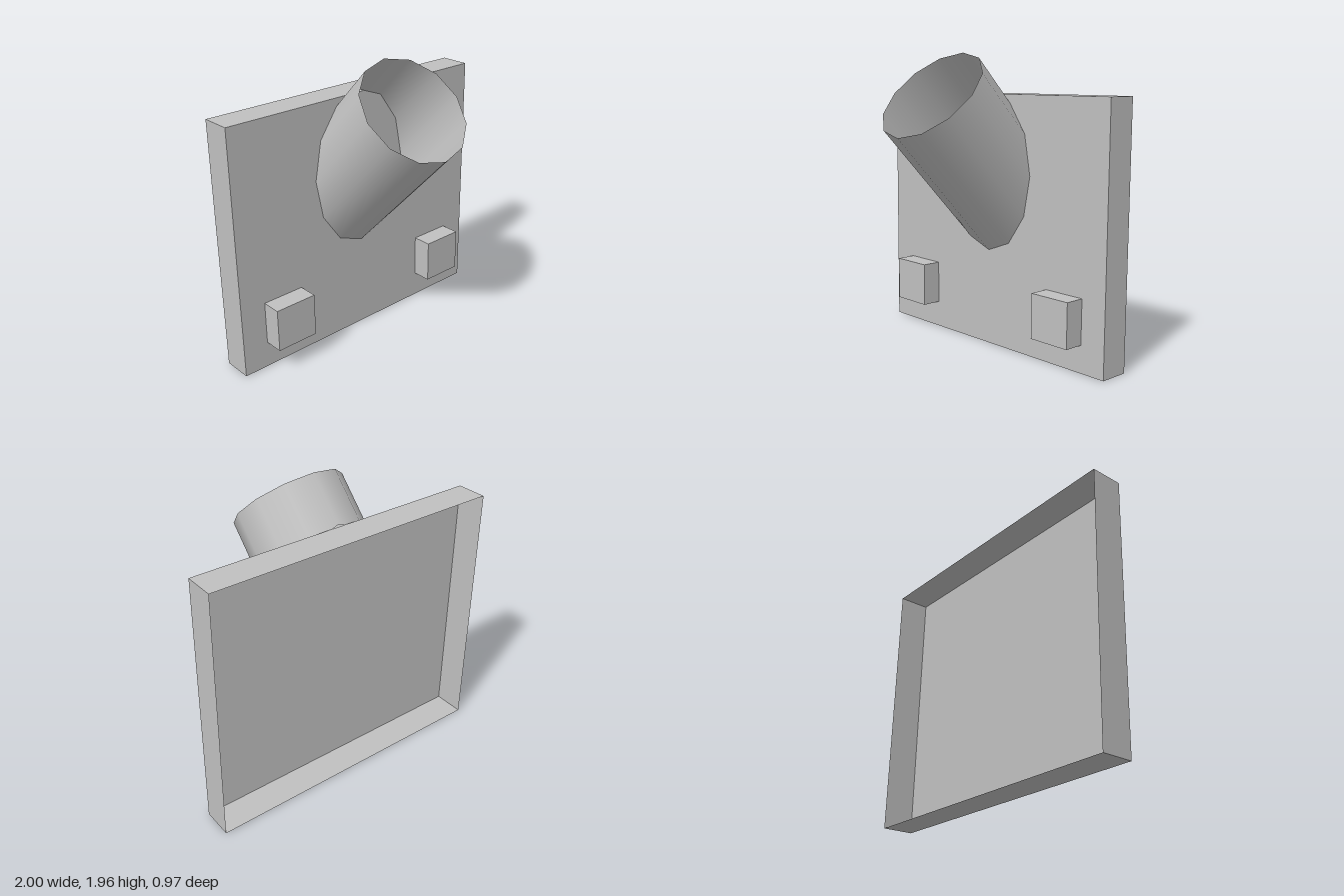
import * as THREE from 'three';

export function createModel() {
  const model = new THREE.Group();
  const grey = new THREE.MeshStandardMaterial({ color: 0xc0c0c0, side: THREE.DoubleSide });
  grey.name = 'plain grey';

  const FRONT = -0.283, BACK = -0.486; // z of the panel face and its open back

  function add(name, geometry, x, y, z) {
    const mesh = new THREE.Mesh(geometry, grey);
    mesh.name = name;
    mesh.position.set(x, y, z);
    model.add(mesh);
  }

  // A box without its rear face
  function openBox(w, h, d) {
    const geometry = new THREE.BoxGeometry(w, h, d);
    geometry.setIndex(Array.from(geometry.index.array.slice(0, 30)));
    geometry.clearGroups();
    return geometry;
  }

  // Wall panel: a shallow tray, open at the back
  add('wallPanel', openBox(2, 1.7, FRONT - BACK), 0, 0.85, (FRONT + BACK) / 2);

  // Two small blocks low on the panel
  for (const side of [-1, 1]) {
    add(side > 0 ? 'leftBlock' : 'rightBlock', openBox(0.295, 0.295, 0.135),
      side * 0.673, 0.328, FRONT + 0.0675);
  }

  // Slanted open tube, its lower end trimmed flush with the panel face
  const tilt = 0.77;
  const axis = new THREE.Vector3(0, Math.cos(tilt), Math.sin(tilt));
  const tube = new THREE.CylinderGeometry(0.371, 0.371, 1, 12, 1, true);
  tube.translate(0, -0.5, 0).rotateX(tilt).translate(0, 1.703, 0.22);
  const pos = tube.attributes.position;
  const p = new THREE.Vector3();
  for (let i = pos.count / 2; i < pos.count; i++) {
    p.fromBufferAttribute(pos, i);
    p.addScaledVector(axis, (FRONT - p.z) / axis.z);
    pos.setXYZ(i, p.x, p.y, p.z);
  }
  add('slantedTube', tube, 0, 0, 0);

  return model;
}
